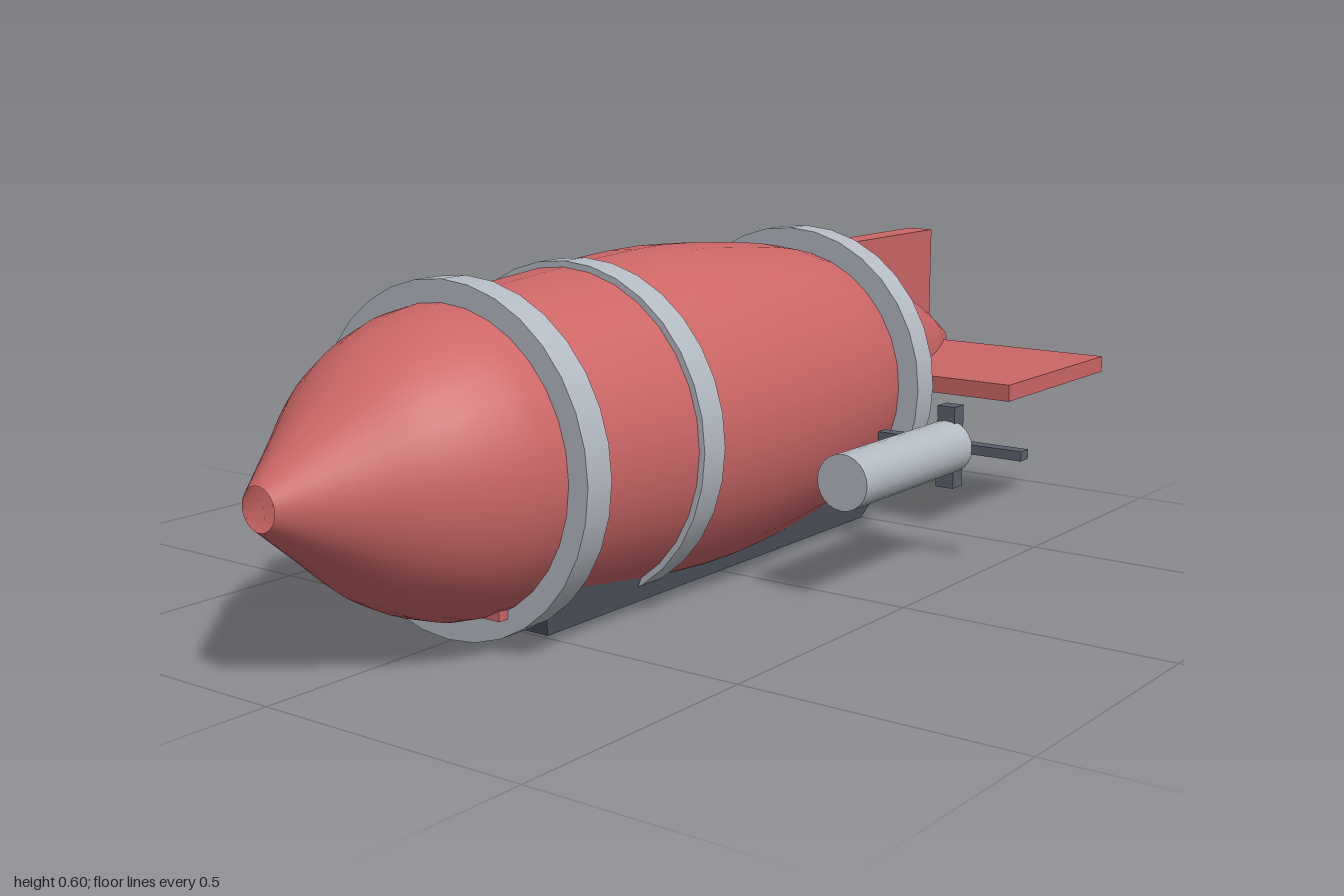
import * as THREE from 'three';

const AXIS_Y = 0.303; // height of the hull's centre line

export function createModel() {
  const model = new THREE.Group();
  model.name = 'airship';

  const red = new THREE.MeshStandardMaterial({ name: 'red hull', color: 0xcc6666, side: THREE.DoubleSide });
  const grey = new THREE.MeshStandardMaterial({ name: 'light grey metal', color: 0xb4bac2 });
  const dark = new THREE.MeshStandardMaterial({ name: 'dark grey metal', color: 0x5a616d });

  const add = (parent, name, geometry, material, x, y, z) => {
    const mesh = new THREE.Mesh(geometry, material);
    mesh.name = name;
    mesh.position.set(x, y, z);
    parent.add(mesh);
    return mesh;
  };
  // Box given by its lower and upper limits on each axis
  const addBox = (parent, name, material, [x0, x1], [y0, y1], [z0, z1]) =>
    add(parent, name, new THREE.BoxGeometry(x1 - x0, y1 - y0, z1 - z0), material,
      (x0 + x1) / 2, (y0 + y1) / 2, (z0 + z1) / 2);

  // Hull: open-ended lathe along z, points are (radius, z)
  const profile = new THREE.SplineCurve([
    [0.022, -1], [0.11, -0.82], [0.195, -0.6], [0.247, -0.42], [0.278, -0.26],
    [0.3, 0.04], [0.282, 0.36], [0.26, 0.6], [0.243, 0.69], [0.197, 0.79],
    [0.12, 0.89], [0.035, 1],
  ].map(([r, z]) => new THREE.Vector2(r, z)));
  add(model, 'hull', new THREE.LatheGeometry(profile.getPoints(40), 32).rotateX(Math.PI / 2),
    red, 0, AXIS_Y, 0);

  // Solid bands around the hull
  for (const z of [0.58, 0.278, -0.42]) {
    add(model, 'band', new THREE.CylinderGeometry(0.297, 0.297, 0.058, 32).rotateX(Math.PI / 2),
      grey, 0, AXIS_Y, z);
  }

  // Tail fins
  addBox(model, 'horizontalFin', red, [-0.45, 0.45], [0.288, 0.32], [-0.885, -0.47]);
  addBox(model, 'verticalFin', red, [-0.028, 0.028], [0.3, 0.556], [-0.907, -0.44]);

  // Keel: box flared towards the top, with an inner red block
  const keel = new THREE.BoxGeometry(1, 1, 1);
  const p = keel.attributes.position;
  for (let i = 0; i < p.count; i++) {
    const top = p.getY(i) > 0;
    const front = p.getZ(i) > 0;
    p.setXYZ(i,
      Math.sign(p.getX(i)) * (top ? 0.19 : 0.145),
      top ? 0.135 : 0.02,
      front ? (top ? 0.59 : 0.53) : (top ? -0.505 : -0.44));
  }
  keel.computeVertexNormals();
  add(model, 'keel', keel, dark, 0, 0, 0);
  addBox(model, 'keelBlock', red, [-0.13, 0.13], [0.065, 0.13], [-0.3, 0.63]);

  // Engines with crossed propeller blades
  for (const [side, name] of [[1, 'leftEngine'], [-1, 'rightEngine']]) {
    const engine = new THREE.Group();
    engine.name = name;
    engine.position.set(side * 0.412, 0.225, 0);
    add(engine, 'engineBody', new THREE.CylinderGeometry(0.05, 0.05, 0.372, 24).rotateX(Math.PI / 2),
      grey, 0, 0, -0.12);
    addBox(engine, 'verticalBlade', dark, [-0.018, 0.018], [-0.077, 0.077], [-0.328, -0.294]);
    addBox(engine, 'horizontalBlade', dark, [-0.15, 0.15], [-0.009, 0.009], [-0.332, -0.304]);
    model.add(engine);
  }

  return model;
}
